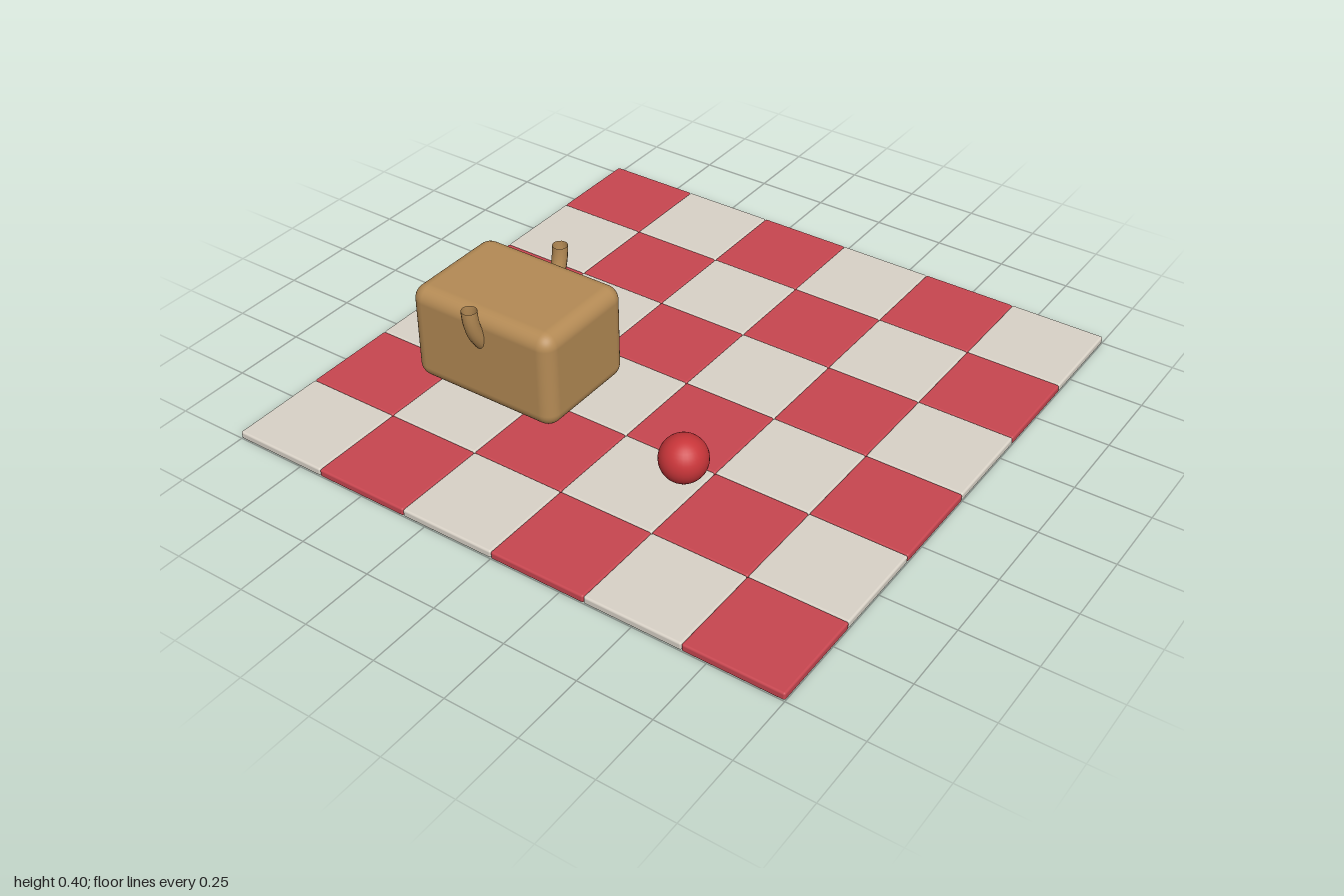
import * as THREE from 'three';
import { RoundedBoxGeometry } from 'three/addons/geometries/RoundedBoxGeometry.js';

function material(name, color, side = THREE.FrontSide) {
  const m = new THREE.MeshStandardMaterial({ color, side });
  m.name = name;
  return m;
}

export function createModel() {
  const group = new THREE.Group();
  group.name = 'picnicScene';

  const clothRed = material('clothRed', 0xc84650);
  const clothCream = material('clothCream', 0xdad3c8);
  const wicker = material('wicker', 0xb58b55, THREE.DoubleSide);
  const appleRed = material('appleRed', 0xc83539);

  function add(name, geometry, mat, x, y, z, parent = group) {
    const mesh = new THREE.Mesh(geometry, mat);
    mesh.name = name;
    mesh.position.set(x, y, z);
    parent.add(mesh);
    return mesh;
  }

  // Chequered blanket of softly rounded squares
  const blanket = new THREE.Group();
  blanket.name = 'blanket';
  group.add(blanket);
  const count = 6, step = 2 / count, thickness = 0.027;
  const square = new RoundedBoxGeometry(step, thickness, step, 3, 0.007);
  for (let row = 0; row < count; row++) {
    for (let col = 0; col < count; col++) {
      const red = (row + col) % 2 === 0;
      add(red ? 'redSquare' : 'creamSquare', square, red ? clothRed : clothCream,
        -1 + (col + 0.5) * step, thickness / 2, -1 + (row + 0.5) * step, blanket);
    }
  }

  // Basket with a half-ring handle sunk through its body
  const basket = new THREE.Group();
  basket.name = 'basket';
  basket.position.set(-0.467, 0, 0.267);
  group.add(basket);
  add('basketBody', new RoundedBoxGeometry(0.555, 0.343, 0.395, 5, 0.05), wicker, 0, 0.201, 0, basket);
  const handle = add('basketHandle', new THREE.TorusGeometry(0.228, 0.026, 14, 40, Math.PI),
    wicker, 0, 0.404, 0, basket);
  handle.rotation.set(Math.PI, Math.PI / 2, 0, 'YXZ');

  // Apple
  add('apple', new THREE.SphereGeometry(0.079, 32, 20), appleRed, 0.265, 0.098, 0.402);

  return group;
}
